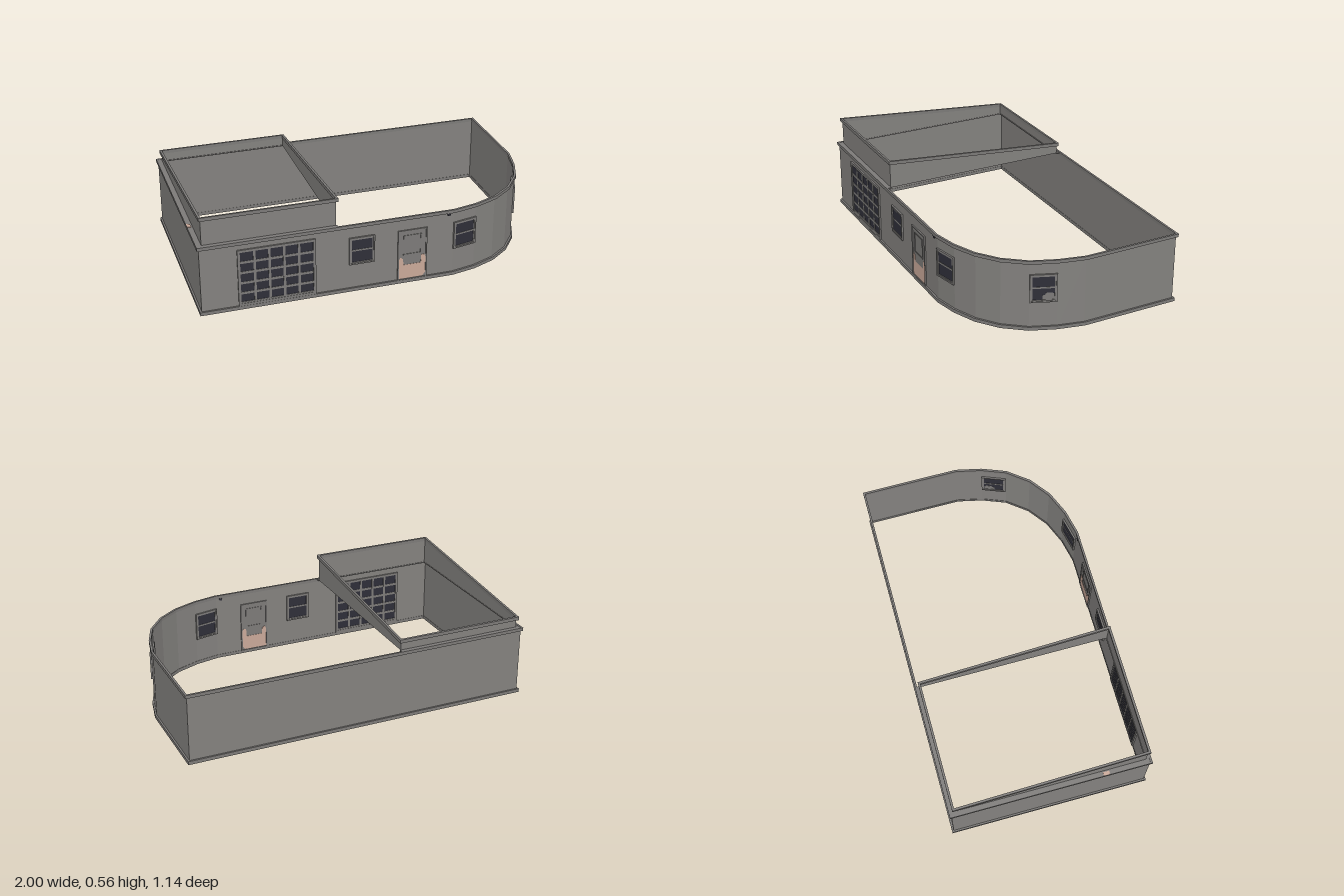
import * as THREE from 'three';

const mat = (name, color, side = THREE.FrontSide) => {
  const m = new THREE.MeshStandardMaterial({ color, side });
  m.name = name;
  return m;
};

export function createModel() {
  const root = new THREE.Group();
  const wallGrey = mat('wall grey', 0x83817e, THREE.DoubleSide);
  const trimGrey = mat('trim grey', 0x7c7a78);
  const glassDark = mat('dark glass', 0x2e2e38);
  const peach = mat('peach', 0xc9a898);

  const add = (parent, name, geo, material) => {
    const m = new THREE.Mesh(geo, material);
    m.name = name;
    parent.add(m);
    return m;
  };
  const bar = (parent, name, material, w, h, d, x, y, z) =>
    add(parent, name, new THREE.BoxGeometry(w, h, d).translate(x, y, z), material);

  // Closed ring of flat wall panels; the top height may depend on z
  const wallRing = (pts, y0, top) => {
    const p = [];
    pts.forEach(([x, z], i) => {
      const [u, w] = pts[(i + 1) % pts.length];
      p.push(x, y0, z, u, y0, w, u, top(w), w, x, y0, z, u, top(w), w, x, top(z), z);
    });
    const g = new THREE.BufferGeometry();
    g.setAttribute('position', new THREE.Float32BufferAttribute(p, 3));
    g.computeVertexNormals();
    return g;
  };

  // Horizontal ring between two outlines given as [x, z]
  const flatRing = (outer, inner, h, y) => {
    const v = (a) => a.map(([x, z]) => new THREE.Vector2(x, -z));
    const s = new THREE.Shape(v(outer));
    s.holes.push(new THREE.Path(v(inner)));
    return new THREE.ExtrudeGeometry(s, { depth: h, bevelEnabled: false })
      .rotateX(-Math.PI / 2).translate(0, y, 0);
  };
  const scaled = (pts, sx, sz) => pts.map(([x, z]) => [x * sx, z * sz]);
  const rect = (x0, x1, z0, z1) => [[x0, z0], [x0, z1], [x1, z1], [x1, z0]];

  // Main shell with one faceted round corner
  const outline = [
    [-0.99, -0.56], [-0.99, 0.56], [0.42, 0.56], [0.56, 0.53], [0.695, 0.475],
    [0.81, 0.39], [0.903, 0.272], [0.957, 0.135], [0.99, -0.01], [0.99, -0.56],
  ];
  add(root, 'mainWalls', wallRing(outline, 0, () => 0.4), wallGrey);
  const bandOuter = scaled(outline, 1 / 0.99, 0.57 / 0.56);
  const bandInner = scaled(outline, 0.998, 0.997);
  add(root, 'baseBand', flatRing(bandOuter, bandInner, 0.02, 0), trimGrey);
  add(root, 'topBand', flatRing(bandOuter, bandInner, 0.019, 0.386), trimGrey);

  // Raised open box with a sloping rim
  const slope = 0.089;
  add(root, 'upperWalls',
    wallRing(rect(-0.97, -0.243, -0.54, 0.54), 0.4, (z) => 0.5 + slope * z), wallGrey);
  const rim = flatRing(rect(-0.98, -0.233, -0.55, 0.55), rect(-0.967, -0.246, -0.537, 0.537), 0.02, 0.496);
  const pos = rim.attributes.position;
  for (let i = 0; i < pos.count; i++) pos.setY(i, pos.getY(i) + slope * pos.getZ(i));
  rim.computeVertexNormals();
  add(root, 'upperRim', rim, trimGrey);

  // Ledge joining the raised box to the main walls
  bar(root, 'sideLedge', trimGrey, 0.028, 0.006, 1.13, -0.982, 0.4, 0);
  for (const s of [-1, 1]) bar(root, 'ledge', trimGrey, 0.755, 0.006, 0.028, -0.615, 0.4, s * 0.55);
  bar(root, 'ledgePatch', peach, 0.02, 0.004, 0.035, -0.988, 0.4045, 0.31);

  // Frame of four bars around a local rectangle
  const frame = (g, x0, x1, y0, y1, t, d) => {
    const cx = (x0 + x1) / 2, cy = (y0 + y1) / 2;
    for (const x of [x0 + t / 2, x1 - t / 2]) bar(g, 'frameSide', trimGrey, t, y1 - y0, d, x, cy, 0);
    for (const y of [y0 + t / 2, y1 - t / 2]) bar(g, 'frameRail', trimGrey, x1 - x0 - 2 * t, t, d, cx, y, 0);
  };
  const group = (name, x, z, turn = 0) => {
    const g = new THREE.Group();
    g.name = name;
    g.position.set(x, 0, z);
    g.rotation.y = turn;
    root.add(g);
    return g;
  };

  // Two-pane windows
  const windowAt = (name, x, z, turn) => {
    const g = group(name, x, z, turn);
    bar(g, 'glass', glassDark, 0.124, 0.142, 0.008, 0, 0.246, 0);
    frame(g, -0.072, 0.072, 0.163, 0.325, 0.008, 0.02);
    frame(g, -0.065, 0.065, 0.17, 0.317, 0.007, 0.013);
    bar(g, 'middleBar', trimGrey, 0.116, 0.009, 0.012, 0, 0.247, 0);
    return g;
  };
  const facetWindow = (name, i) => {
    const [a, b] = outline[i], [c, d] = outline[i + 1];
    return windowAt(name, (a + c) / 2, (b + d) / 2, Math.atan2(b - d, c - a));
  };
  windowAt('frontWindow', -0.106, 0.56, 0);
  facetWindow('curveWindow', 2);
  const cornerWindow = facetWindow('cornerWindow', 6);

  // Plate cut from a small outline, straddling the wall
  const plate = (g, name, pts, d, material) => add(g, name, new THREE.ExtrudeGeometry(
    new THREE.Shape(pts.map(([x, y]) => new THREE.Vector2(x, y))),
    { depth: d, bevelEnabled: false }).translate(0, 0, -d / 2), material);
  plate(cornerWindow, 'greyPatch', [[-0.005, 0.176], [0.057, 0.176], [0.057, 0.21],
    [0.045, 0.217], [0.015, 0.219], [0.008, 0.205], [-0.005, 0.203]], 0.0096, trimGrey);

  // Large grid window
  const grid = group('gridWindow', -0.577, 0.56);
  bar(grid, 'glass', glassDark, 0.402, 0.3, 0.008, 0, 0.19, 0);
  frame(grid, -0.213, 0.213, 0.02, 0.355, 0.014, 0.018);
  bar(grid, 'sill', trimGrey, 0.4, 0.012, 0.014, 0, 0.038, 0);
  for (let i = 1; i < 5; i++) {
    bar(grid, 'upright', trimGrey, 0.013, 0.31, 0.013, -0.201 + i * 0.0805, 0.19, 0);
    bar(grid, 'crossBar', trimGrey, 0.4, 0.014, 0.012, 0, 0.035 + i * 0.0612, 0);
  }

  // Door with upper panel and lower peach panel
  const door = group('door', 0.182, 0.56);
  bar(door, 'doorLeaf', trimGrey, 0.155, 0.295, 0.006, 0, 0.168, 0);
  frame(door, -0.084, 0.084, 0.015, 0.322, 0.007, 0.016);
  frame(door, -0.052, 0.052, 0.17, 0.29, 0.006, 0.012);
  plate(door, 'peachPanel', [[-0.077, 0.025], [0.06, 0.025], [0.077, 0.045], [0.077, 0.14],
    [0.07, 0.16], [0.052, 0.158], [0.05, 0.11], [-0.05, 0.11], [-0.053, 0.145],
    [-0.068, 0.158], [-0.077, 0.14]], 0.009, peach);

  // Small vent under the top band
  bar(root, 'vent', glassDark, 0.016, 0.012, 0.012, 0.39, 0.379, 0.563);
  return root;
}
